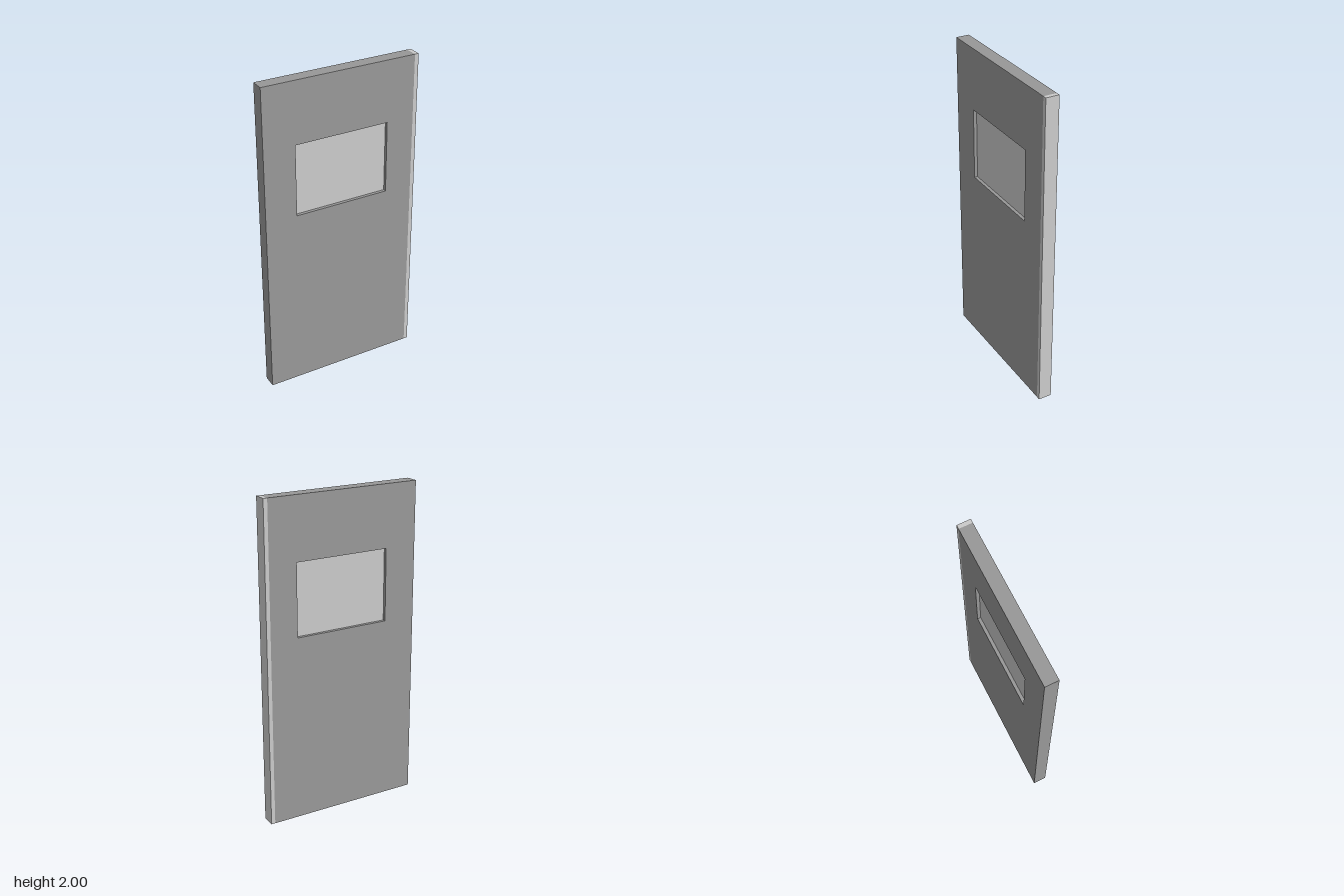
import * as THREE from 'three';

const HALF_DEPTH = 0.0415;

// Counter-clockwise rectangle outline
function rect(Type, x0, y0, x1, y1) {
  return new Type([[x0, y0], [x1, y0], [x1, y1], [x0, y1]].map(([x, y]) => new THREE.Vector2(x, y)));
}

function box(name, x0, y0, x1, y1, depth, material) {
  const mesh = new THREE.Mesh(new THREE.BoxGeometry(x1 - x0, y1 - y0, depth), material);
  mesh.position.set((x0 + x1) / 2, (y0 + y1) / 2, 0);
  mesh.name = name;
  return mesh;
}

export function createModel() {
  const group = new THREE.Group();
  group.name = 'door';
  const light = new THREE.MeshStandardMaterial({ color: 0xcccccc });
  const dark = new THREE.MeshStandardMaterial({ color: 0x999999 });

  // Door leaf with the window opening cut through
  const outline = rect(THREE.Shape, -0.5, 0, 0.475, 2);
  outline.holes.push(rect(THREE.Path, -0.3, 1.165, 0.3, 1.615));
  const leaf = new THREE.ExtrudeGeometry(outline, { depth: 2 * HALF_DEPTH, bevelEnabled: false });
  leaf.translate(0, 0, -HALF_DEPTH);
  const panel = new THREE.Mesh(leaf, dark);
  panel.name = 'doorPanel';
  group.add(panel);

  // Pale strip along the left edge
  group.add(box('edgeStrip', 0.475, 0, 0.5, 2, 2 * HALF_DEPTH, light));

  // Window pane, recessed equally on both faces
  group.add(box('windowPane', -0.3, 1.165, 0.3, 1.615, 0.042, light));

  return group;
}
